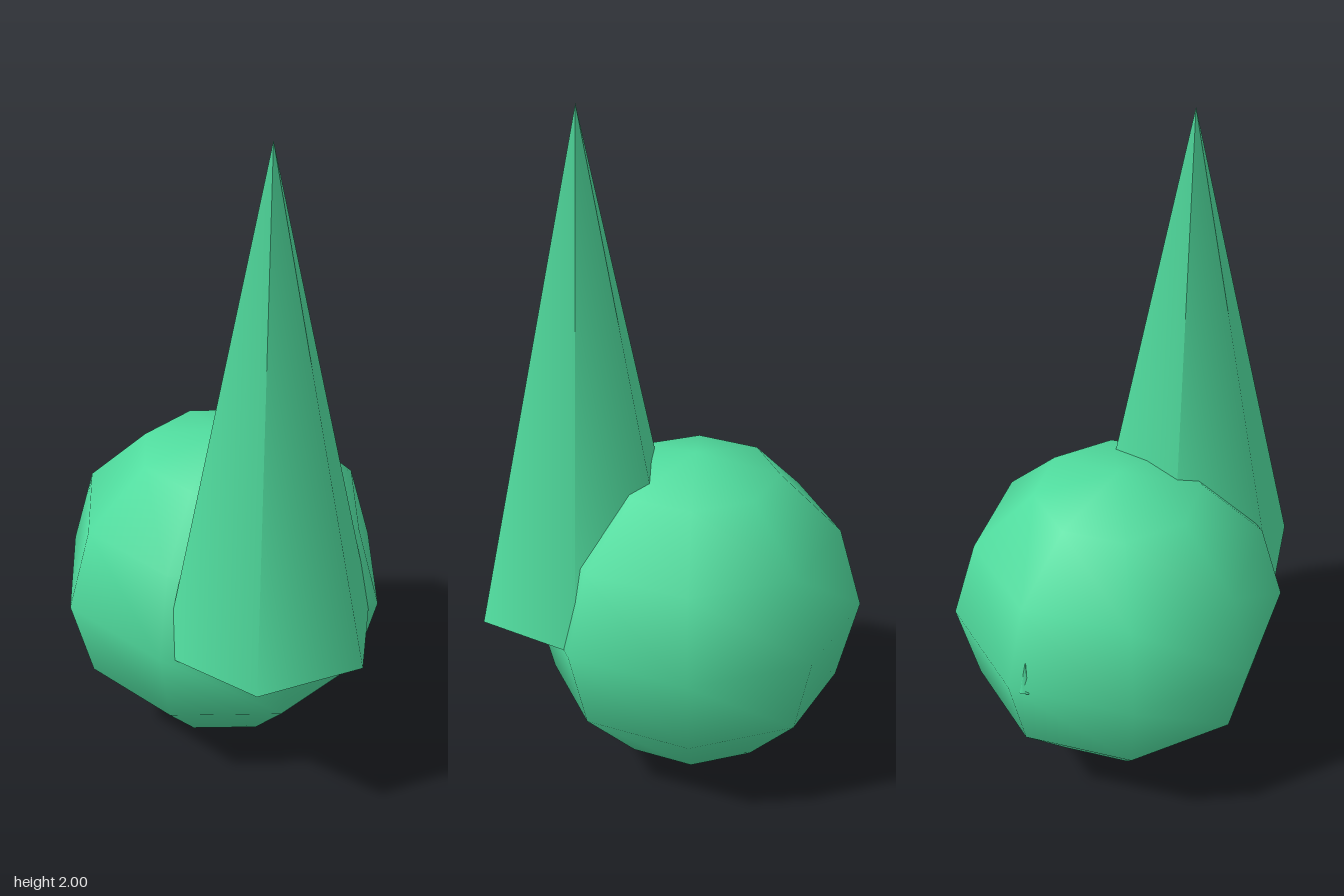
import * as THREE from 'three';

export function createModel() {
  const group = new THREE.Group();
  const green = new THREE.MeshStandardMaterial({ color: 0x50dc9e });
  green.name = 'mint green';

  const add = (name, geometry, x, y, z) => {
    const mesh = new THREE.Mesh(geometry, green);
    mesh.name = name;
    mesh.position.set(x, y, z);
    group.add(mesh);
  };

  // Coarse round body with smooth normals
  add('body', new THREE.SphereGeometry(0.486, 8, 6), 0, 0.49, -0.06);

  // Tall six-sided spike, a flat side to the front
  add('spike', new THREE.ConeGeometry(0.325, 1.51, 6, 1, false, Math.PI / 6), 0, 1.245, 0.265);

  // Tiny spur barely breaking the back of the body
  add('backSpur', new THREE.ConeGeometry(0.025, 0.1, 6), -0.035, 0.53, -0.51);

  return group;
}
